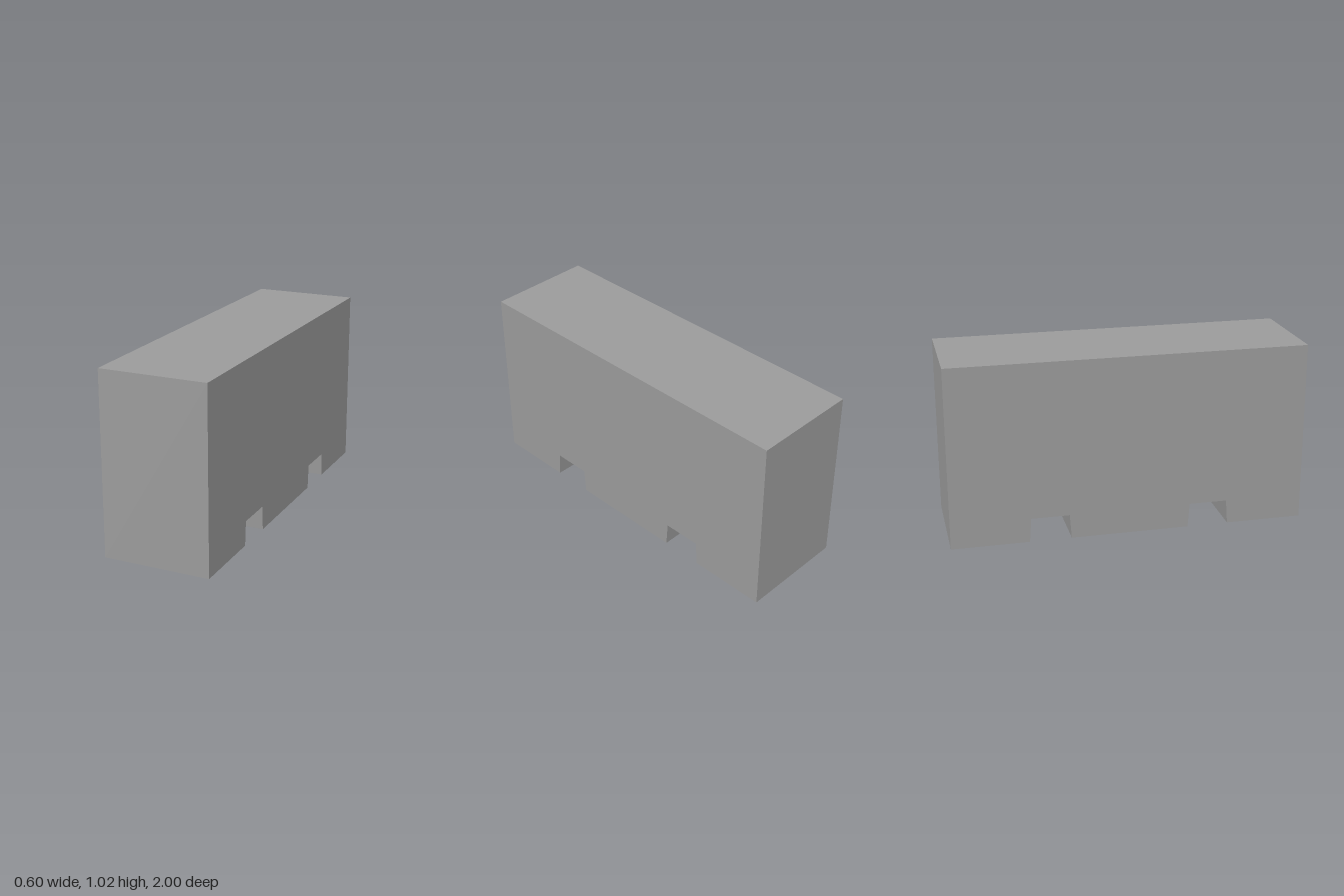
import * as THREE from 'three';

const WIDTH = 0.6, HEIGHT = 1.021, HALF_LENGTH = 1;
const NOTCH = { centre: 0.45, halfBottom: 0.117, halfTop: 0.107, height: 0.137 };

export function createModel() {
  const group = new THREE.Group();
  group.name = 'notchedBlock';

  // Side profile (length, height) with two tapered slots in the underside
  const profile = new THREE.Shape();
  profile.moveTo(-HALF_LENGTH, 0);
  for (const side of [-1, 1]) {
    const c = side * NOTCH.centre;
    profile.lineTo(c - NOTCH.halfBottom, 0);
    profile.lineTo(c - NOTCH.halfTop, NOTCH.height);
    profile.lineTo(c + NOTCH.halfTop, NOTCH.height);
    profile.lineTo(c + NOTCH.halfBottom, 0);
  }
  profile.lineTo(HALF_LENGTH, 0);
  profile.lineTo(HALF_LENGTH, HEIGHT);
  profile.lineTo(-HALF_LENGTH, HEIGHT);
  profile.closePath();

  // Extrude across the width, then turn the length onto z
  const geometry = new THREE.ExtrudeGeometry(profile, { depth: WIDTH, bevelEnabled: false });
  geometry.translate(0, 0, -WIDTH / 2);
  geometry.rotateY(-Math.PI / 2);

  const block = new THREE.Mesh(
    geometry,
    new THREE.MeshStandardMaterial({ color: 0x9b9b9b, flatShading: true })
  );
  block.name = 'block';
  group.add(block);
  return group;
}
